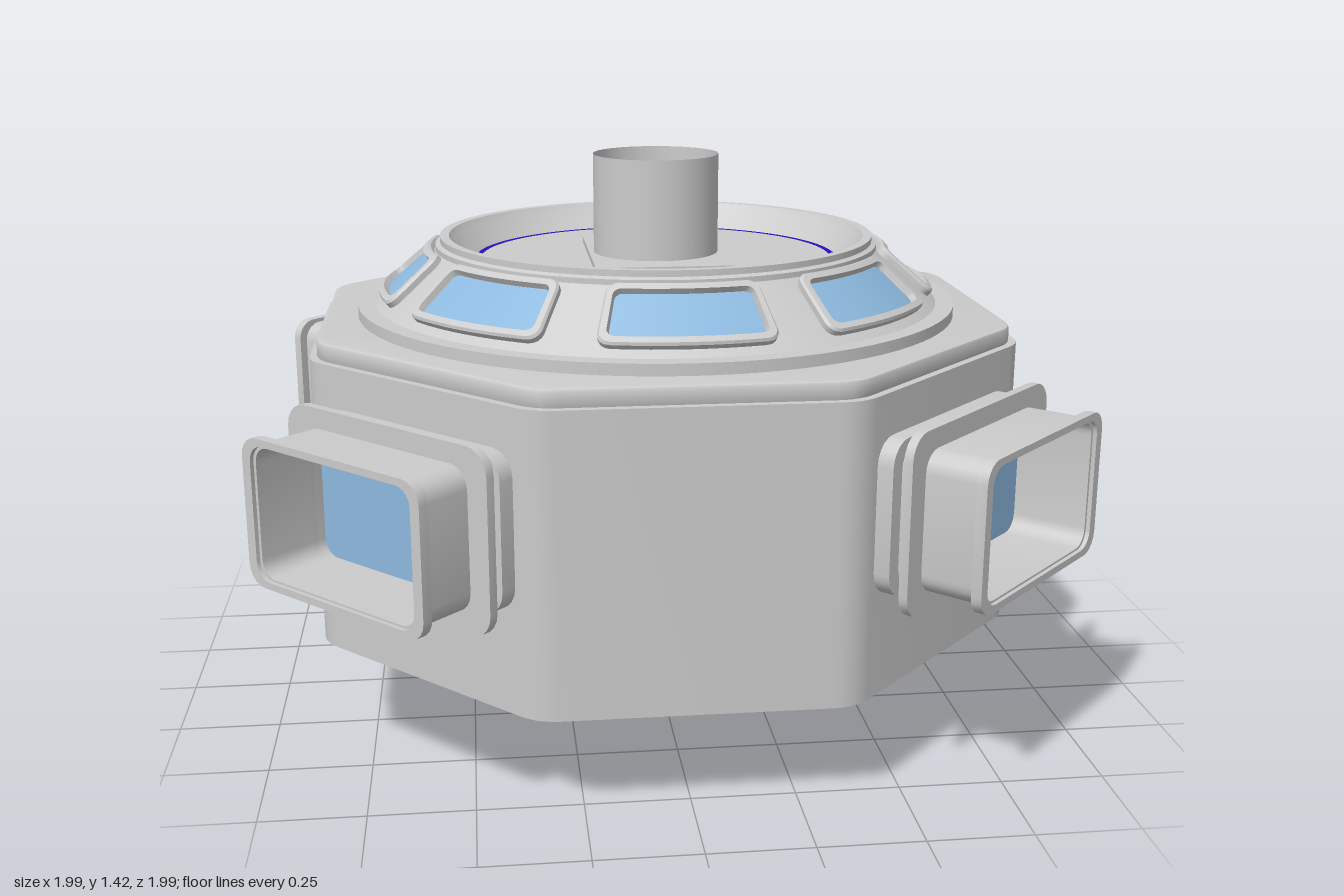
import * as THREE from 'three';
import { toCreasedNormals } from 'three/addons/utils/BufferGeometryUtils.js';

const grey = new THREE.MeshStandardMaterial({ color: 0xcccccc });
const greyThin = new THREE.MeshStandardMaterial({ color: 0xcccccc, side: THREE.DoubleSide });
const glass = new THREE.MeshStandardMaterial({ color: 0x8db9de, side: THREE.DoubleSide });
const purple = new THREE.MeshStandardMaterial({ color: 0x2a10b8 });

const TUBE_R = 0.16;

function add(parent, name, geometry, material = grey) {
  const mesh = new THREE.Mesh(geometry, material);
  mesh.name = name;
  parent.add(mesh);
  return mesh;
}

// Rounded polygon outline, counter-clockwise, with each straight edge subdivided
function rounded(corners, radius, arcSteps = 5, edgeSteps = 1) {
  const arcs = corners.map((c, i) => {
    const n = corners.length;
    const a = corners[(i + n - 1) % n].clone().sub(c).normalize();
    const b = corners[(i + 1) % n].clone().sub(c).normalize();
    const half = Math.acos(a.dot(b)) / 2;
    const centre = c.clone().add(a.clone().add(b).setLength(radius / Math.sin(half)));
    const start = Math.atan2(-a.x, a.y) + Math.PI;
    const first = c.clone().addScaledVector(a, radius / Math.tan(half)).sub(centre);
    const angle0 = first.length() ? Math.atan2(first.y, first.x) : start;
    return Array.from({ length: arcSteps + 1 }, (_, k) => {
      const t = angle0 + (Math.PI - 2 * half) * k / arcSteps;
      return new THREE.Vector2(centre.x + radius * Math.cos(t), centre.y + radius * Math.sin(t));
    });
  });
  return arcs.flatMap((arc, i) => {
    const next = arcs[(i + 1) % arcs.length][0], last = arc[arcSteps];
    const edge = [];
    for (let k = 1; k < edgeSteps; k++) edge.push(last.clone().lerp(next, k / edgeSteps));
    return [...arc, ...edge];
  });
}

const rect = (hw, hh) => [[-1, -1], [1, -1], [1, 1], [-1, 1]].map(([x, y]) => new THREE.Vector2(x * hw, y * hh));

const octagon = (apothem) => Array.from({ length: 8 }, (_, i) => {
  const a = Math.PI / 8 + i * Math.PI / 4, r = apothem / Math.cos(Math.PI / 8);
  return new THREE.Vector2(r * Math.cos(a), r * Math.sin(a));
});

// Extrude an outline, with an optional hole, from z0 to z1
function slab(outline, hole, z0, z1, bevel = 0) {
  const shape = new THREE.Shape(outline);
  if (hole) shape.holes.push(new THREE.Path(hole));
  const geo = new THREE.ExtrudeGeometry(shape, {
    depth: z1 - z0 - 2 * bevel, bevelEnabled: bevel > 0,
    bevelSize: bevel, bevelThickness: bevel, bevelOffset: -bevel, bevelSegments: 2,
  });
  geo.translate(0, 0, z0 + bevel);
  return toCreasedNormals(geo, 0.5);
}

const tubeHole = () => new THREE.Path().absarc(0, 0, TUBE_R, 0, Math.PI * 2).getPoints(24);
const flatSlab = (outline, y0, y1, bevel) => slab(outline, tubeHole(), y0, y1, bevel).rotateX(-Math.PI / 2);

// Place a point on the sloping dome: u around, v up the slope, o outwards
function onDome(u, v, o) {
  const a = u / 0.65, r = 0.72 - 0.762 * v + 0.65 * o;
  return [r * Math.sin(a), 1.055 + 0.65 * v + 0.76 * o, r * Math.cos(a)];
}

// Skin a row of closed loops with equal point counts
function loft(loops) {
  const n = loops[0].length, index = [];
  for (let k = 0; k < loops.length - 1; k++) {
    for (let i = 0; i < n; i++) {
      const j = (i + 1) % n, a = k * n + i, b = k * n + j;
      index.push(a, b, b + n, a, b + n, a + n);
    }
  }
  const geo = new THREE.BufferGeometry();
  geo.setAttribute('position', new THREE.Float32BufferAttribute(loops.flat(2), 3));
  geo.setIndex(index);
  return toCreasedNormals(geo, 0.5);
}

const WINDOW_V = 0.1125;

function domeWindow() {
  const group = new THREE.Group();
  group.name = 'domeWindow';
  const loop = (hw, hh, r, o) => rounded(rect(hw, hh), r, 4, 8).map((p) => onDome(p.x, p.y + WINDOW_V, o));
  add(group, 'windowFrame', loft([
    loop(0.195, 0.0875, 0.03, -0.01),
    loop(0.195, 0.0875, 0.03, 0.014),
    loop(0.19, 0.0825, 0.027, 0.02),
    loop(0.175, 0.0665, 0.02, 0.02),
    loop(0.171, 0.0625, 0.018, -0.004),
  ]));
  const pane = new THREE.PlaneGeometry(0.36, 0.14, 10, 1);
  const pos = pane.attributes.position;
  for (let i = 0; i < pos.count; i++) pos.setXYZ(i, ...onDome(pos.getX(i), pos.getY(i) + WINDOW_V, 0.004));
  pane.computeVertexNormals();
  add(group, 'windowPane', pane, glass);
  return group;
}

// Box-shaped docking port pointing along +z
function dockingPort() {
  const group = new THREE.Group();
  group.name = 'dockingPort';
  const ring = (name, hw, hh, r, z0, z1, bevel) =>
    add(group, name, slab(rounded(rect(hw, hh), r), rounded(rect(0.25, 0.155), 0.04), z0, z1, bevel));
  ring('portCollar', 0.3, 0.185, 0.06, 0.8, 0.905);
  ring('portFlange', 0.32, 0.215, 0.06, 0.942, 0.964);
  ring('portNeck', 0.262, 0.167, 0.05, 0.8, 1.115);
  add(group, 'portRim', slab(rounded(rect(0.285, 0.177), 0.05), rounded(rect(0.258, 0.16), 0.042), 1.1, 1.125));
  add(group, 'portPane', new THREE.PlaneGeometry(0.51, 0.32).translate(0, 0, 0.93), glass);
  return group;
}

export function createModel() {
  const model = new THREE.Group();
  model.name = 'stationHub';

  // Octagonal hull and its stepped rim
  add(model, 'hull', flatSlab(rounded(octagon(0.865), 0.12), 0.27, 0.985));
  add(model, 'hullRim', flatSlab(rounded(octagon(0.847), 0.12), 0.98, 1.027, 0.008));

  // Round base step, sloping dome, top lip and sunken deck
  const profile = [
    [0.765, 1.02], [0.765, 1.055], [0.72, 1.055], [0.565, 1.187], [0.565, 1.2], [0.553, 1.205],
    [0.553, 1.22], [0.53, 1.22], [0.52, 1.205], [0.48, 1.165], [0.47, 1.155], [TUBE_R, 1.155],
  ].map(([r, y]) => new THREE.Vector2(r, y));
  add(model, 'dome', toCreasedNormals(new THREE.LatheGeometry(profile, 96), 0.4));
  add(model, 'deckRing', new THREE.RingGeometry(0.45, 0.465, 96).rotateX(-Math.PI / 2).translate(0, 1.158, 0), purple);

  // Central tube open at both ends, with a plate where it leaves the hull
  add(model, 'centralTube',
    new THREE.CylinderGeometry(TUBE_R, TUBE_R, 1.42, 48, 1, true).translate(0, 0.71, 0), greyThin);
  add(model, 'topPlate', flatSlab(rect(0.173, 0.238), 1.15, 1.17));
  add(model, 'bottomPlate', flatSlab(rect(0.173, 0.238), 0.25, 0.272));

  // Eight windows around the dome
  for (let i = 0; i < 8; i++) {
    const win = domeWindow();
    win.rotation.y = i * Math.PI / 4;
    model.add(win);
  }

  // Four ports on the diagonal faces
  for (let i = 0; i < 4; i++) {
    const port = dockingPort();
    port.position.y = 0.7;
    port.rotation.y = Math.PI / 4 + i * Math.PI / 2;
    model.add(port);
  }
  return model;
}
